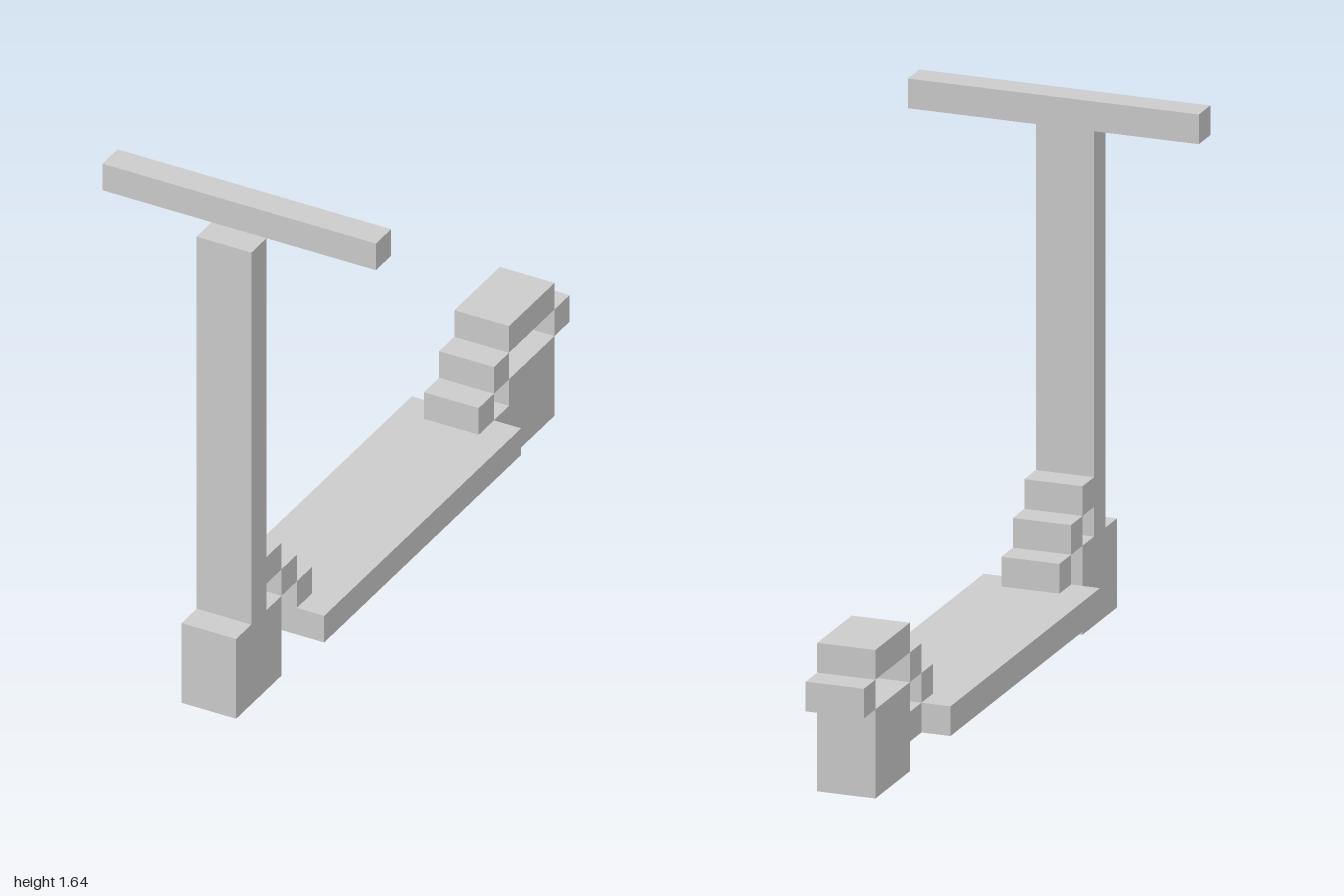
import * as THREE from 'three';

// The scooter sits on a block grid: 22 blocks long = 2 units
const U = 1 / 11;

export function createModel() {
  const scooter = new THREE.Group();
  scooter.name = 'scooter';
  const material = new THREE.MeshStandardMaterial({ color: 0xcccccc, flatShading: true });

  // Box centred on x, given its width and its y and z ranges in blocks
  function block(name, width, [y0, y1], [z0, z1], parent = scooter) {
    const geometry = new THREE.BoxGeometry(width * U, (y1 - y0) * U, (z1 - z0) * U);
    const mesh = new THREE.Mesh(geometry, material);
    mesh.name = name;
    mesh.position.set(0, (y0 + y1) / 2 * U, (z0 + z1) / 2 * U);
    parent.add(mesh);
  }

  // Wheels
  block('frontWheel', 2, [0, 3], [8, 11]);
  block('rearWheel', 2, [0, 3], [-10, -7]);

  // Steering
  block('steeringColumn', 2, [3, 17], [9, 10]);
  block('handlebar', 10, [17, 18], [8, 9]);

  // Deck and its link to the rear wheel
  block('deck', 4, [1, 2], [-6, 7]);
  block('rearWheelLink', 2, [1, 2], [-7, -6]);

  // Stepped neck rising from the deck to the steering column
  const neck = new THREE.Group();
  neck.name = 'frontNeck';
  scooter.add(neck);
  for (let i = 0; i < 3; i++) block('neckStep', 2, [2 + i, 3 + i], [6 + i, 7 + i], neck);

  // Stepped mudguard arching over the rear wheel
  const mudguard = new THREE.Group();
  mudguard.name = 'rearMudguard';
  scooter.add(mudguard);
  for (let i = 0; i < 2; i++) block('mudguardStep', 2, [2 + i, 3 + i], [-6 - i, -5 - i], mudguard);
  block('mudguardTop', 2, [4, 5], [-10, -7], mudguard);
  block('mudguardTail', 2, [3, 4], [-11, -10], mudguard);

  return scooter;
}
